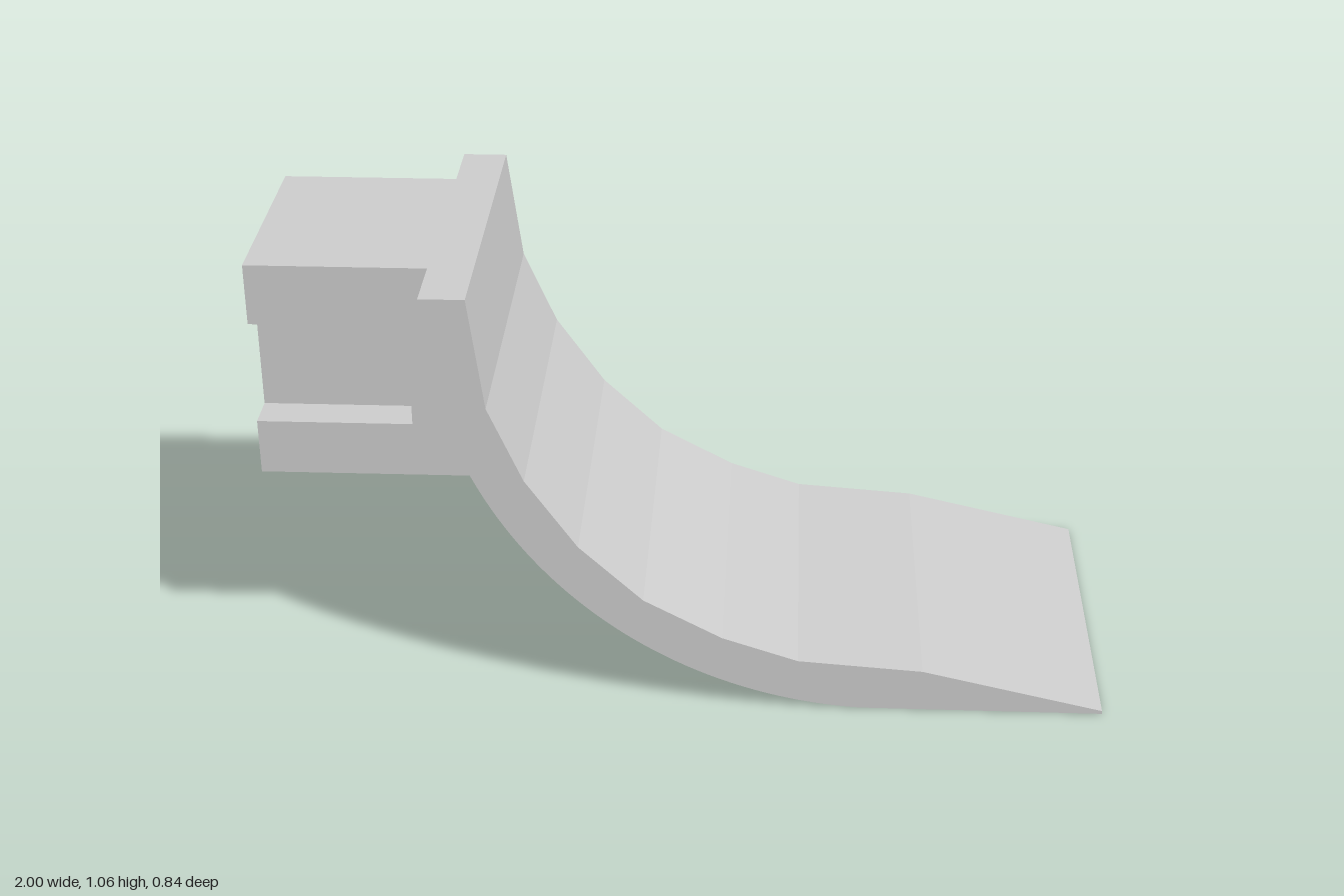
import * as THREE from 'three';

const TOP = 1.06, R = 1.06, CX = 0.48;      // back curve of the blade: centre (CX, TOP), radius R
const BLOCK_BOTTOM = 0.525;

export function createModel() {
  const group = new THREE.Group();
  const material = new THREE.MeshStandardMaterial({ color: 0xcccccc });

  // Extrudes a front outline between two depths
  function slab(name, shape, z0, z1) {
    const geometry = new THREE.ExtrudeGeometry(shape, { depth: z1 - z0, bevelEnabled: false, curveSegments: 28 });
    geometry.translate(0, 0, z0);
    const mesh = new THREE.Mesh(geometry, material);
    mesh.name = name;
    group.add(mesh);
  }

  // Curved blade: smooth arc behind, faceted face in front, thin flat toe
  const blade = new THREE.Shape();
  blade.moveTo(-0.475, TOP);
  blade.lineTo(CX - R, TOP);
  blade.absarc(CX, TOP, R, Math.PI, 1.5 * Math.PI - 0.05, false);
  const face = [
    [1, 0], [1, 0.008], [0.57, 0.108], [0.275, 0.13], [0.095, 0.19],
    [-0.09, 0.29], [-0.24, 0.432], [-0.36, 0.605], [-0.44, 0.79],
  ];
  for (const [x, y] of face) blade.lineTo(x, y);
  blade.closePath();
  slab('blade', blade, -0.42, 0.42);

  // Mounting block outline, its inner end following the back of the blade
  function blockOutline(slotted) {
    const s = new THREE.Shape();
    s.moveTo(-1, TOP);
    if (slotted) {
      s.lineTo(-1, 0.912);
      s.lineTo(-0.635, 0.912);
      s.lineTo(-0.635, 0.66);
      s.lineTo(-1, 0.66);
    }
    s.lineTo(-1, BLOCK_BOTTOM);
    const endAngle = Math.PI + Math.asin((TOP - BLOCK_BOTTOM) / R);
    s.absarc(CX, TOP, R, endAngle, Math.PI, true);
    s.closePath();
    return s;
  }

  // Solid core with a slotted cheek on each side
  slab('mountCore', blockOutline(false), -0.17, 0.17);
  slab('mountCheekFront', blockOutline(true), 0.17, 0.26);
  slab('mountCheekBack', blockOutline(true), -0.26, -0.17);

  return group;
}
